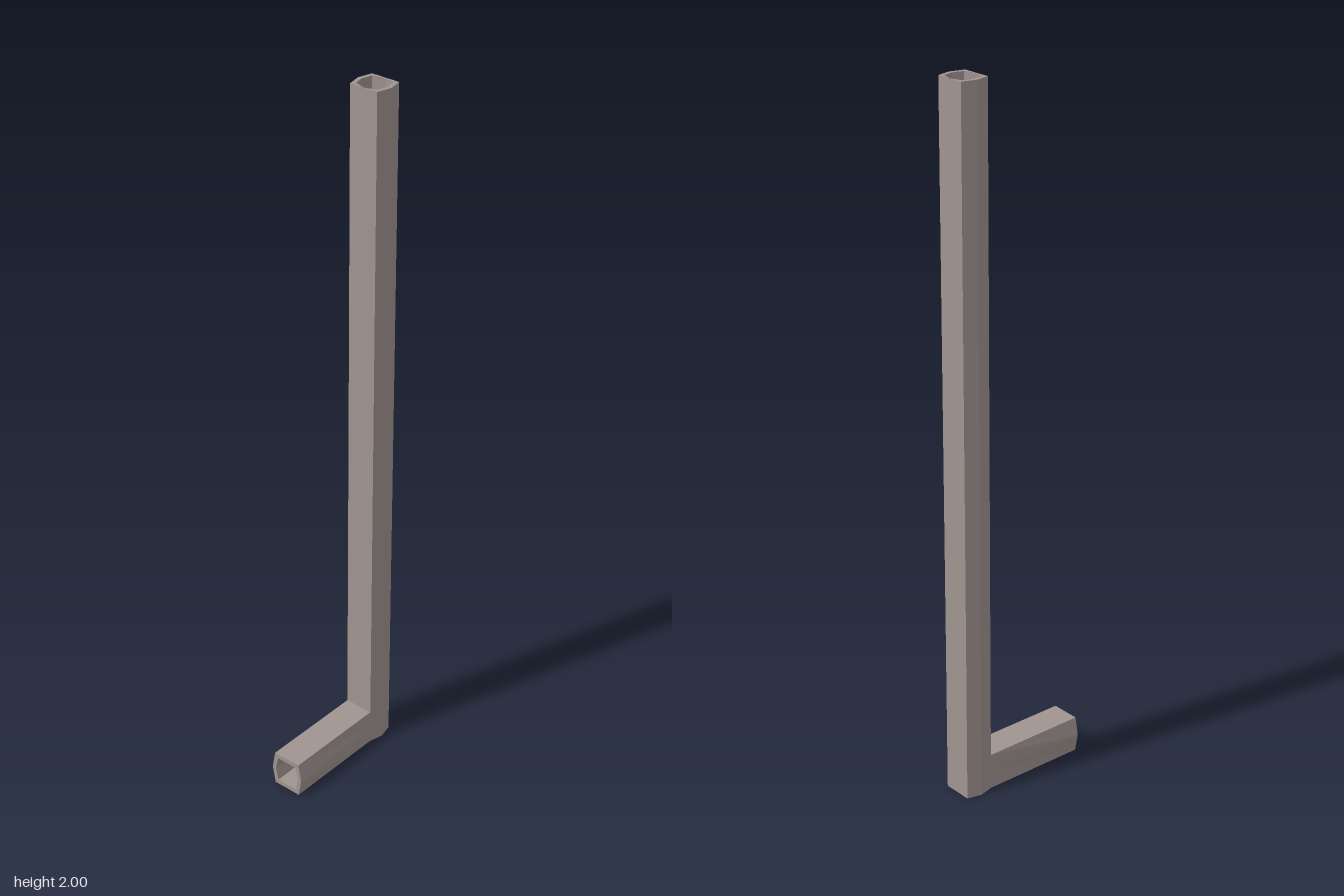
import * as THREE from 'three';

const material = new THREE.MeshStandardMaterial({ color: 0xa09490, flatShading: true, side: THREE.DoubleSide });

// Key levels: column back / middle / front in z, arm height
const BACK = -0.198, MID = -0.156, FRONT = -0.114, TIP = 0.198, TOP = 2, ARM = 0.105;

// Six-sided section [x, v], counter-clockwise from the low right corner
const hex = (wide, narrow, lo, mid, hi) =>
  [[narrow, lo], [wide, mid], [narrow, hi], [-narrow, hi], [-wide, mid], [-narrow, lo]];

// Adds a point in the middle of the low and high sides
const withPeaks = (h, lo, hi) => [...h.slice(0, 3), [0, hi], ...h.slice(3), [0, lo]];

// Joins rings of [x, y, z] points into open walls; skip(i) leaves out a side
function loft(rings, flip = false, skip = () => false) {
  const pos = [];
  for (let r = 0; r + 1 < rings.length; r++) {
    const a = rings[r], b = rings[r + 1], n = a.length;
    for (let i = 0; i < n; i++) {
      if (skip(i)) continue;
      const j = (i + 1) % n;
      const tris = flip ? [a[i], b[j], a[j], a[i], b[i], b[j]] : [a[i], a[j], b[j], a[i], b[j], b[i]];
      tris.forEach(p => pos.push(...p));
    }
  }
  const g = new THREE.BufferGeometry();
  g.setAttribute('position', new THREE.Float32BufferAttribute(pos, 3));
  g.computeVertexNormals();
  return g;
}

// Flat face with an optional opening
function plate(outline, hole) {
  const pts = l => l.map(p => new THREE.Vector2(...p));
  const s = new THREE.Shape(pts(outline));
  if (hole) s.holes.push(new THREE.Path(pts(hole)));
  return new THREE.ShapeGeometry(s);
}

export function createModel() {
  const group = new THREE.Group();
  const add = (name, geometry) => {
    const m = new THREE.Mesh(geometry, material);
    m.name = name;
    group.add(m);
  };

  // Sections use v = -z for the column and v = y for the arm
  const columnHex = hex(0.053, 0.043, -FRONT, -MID, -BACK);
  const armHex = hex(0.053, 0.043, 0, ARM / 2, ARM);
  const boreTop = withPeaks(hex(0.041, 0.034, 0.126, -MID, 0.187), 0.1145, 0.1975);
  const boreTip = withPeaks(hex(0.041, 0.032, 0.014, ARM / 2, 0.091), 0.014, 0.091);
  const atY = (s, y) => s.map(([x, v]) => [x, y, -v]);
  const atZ = (s, z) => s.map(([x, v]) => [x, v, z]);

  // Upright column; its foot is open towards the arm
  add('column', loft([atY(columnHex, ARM), atY(columnHex, TOP)]));
  add('columnFoot', loft([atY(columnHex, 0), atY(columnHex, ARM)], false, i => i === 5));
  add('footBase', plate(columnHex).rotateX(-Math.PI / 2));

  // Arm, whose side ridges fade out where it meets the column
  const armRoot = hex(0.043, 0.043, 0, ARM / 2, ARM);
  add('arm', loft([atZ(armRoot, FRONT), atZ(armHex, TIP)]));

  // Hollow core with a mitred bend
  const bendZ = [-0.126, MID, -0.187, -0.187, -0.187, MID, -0.126, -0.126];
  const bendY = [0.091, ARM / 2, 0.014, 0.014, 0.014, ARM / 2, 0.091, 0.091];
  const bend = boreTop.map(([x], i) => [x, bendY[i], bendZ[i]]);
  add('columnBore', loft([bend, atY(boreTop, TOP)], true));
  // The bend ring runs the other way up along the arm
  const order = [2, 1, 0, 7, 6, 5, 4, 3];
  add('armBore', loft([order.map(i => bend[i]), atZ(boreTip, TIP)], true));

  // End rims
  add('columnRim', plate(columnHex, boreTop).rotateX(-Math.PI / 2).translate(0, TOP, 0));
  add('armRim', plate(armHex, hex(0.041, 0.032, 0.014, ARM / 2, 0.091)).translate(0, 0, TIP));

  return group;
}
